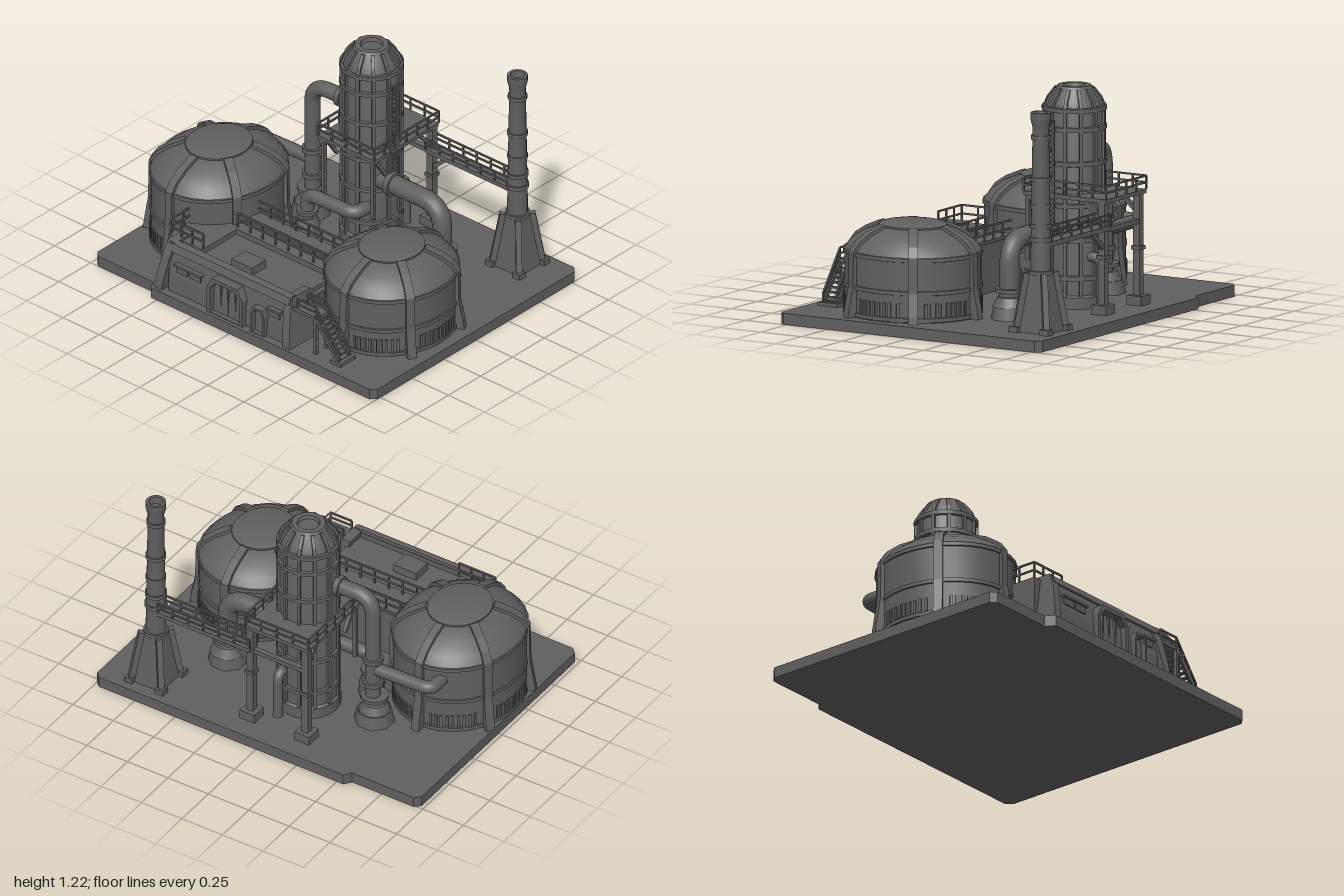
import * as THREE from 'three';
import { toCreasedNormals, mergeGeometries } from 'three/addons/utils/BufferGeometryUtils.js';

const steel = new THREE.MeshStandardMaterial({ color: 0x606060 });
steel.name = 'dark grey steel';
const G = 0.06; // ground slab height
const V = (x, y, z) => new THREE.Vector3(x, y, z);

function add(parent, name, geo, x = 0, y = 0, z = 0) {
  const m = new THREE.Mesh(geo, steel);
  m.name = name;
  m.position.set(x, y, z);
  parent.add(m);
  return m;
}
function group(parent, name, x = 0, y = 0, z = 0) {
  const g = new THREE.Group();
  g.name = name;
  g.position.set(x, y, z);
  parent.add(g);
  return g;
}
const box = (p, name, w, h, d, x, y, z) => add(p, name, new THREE.BoxGeometry(w, h, d), x, y, z);
const lathe = (pts, n = 32) => toCreasedNormals(
  new THREE.LatheGeometry(pts.map(([r, y]) => new THREE.Vector2(r, y)), n), 0.45);
const polygon = pts => new THREE.Shape(pts.map(([x, y]) => new THREE.Vector2(x, y)));
const extrude = (pts, depth) => new THREE.ExtrudeGeometry(polygon(pts), { depth, bevelEnabled: false });
const cyl = (r1, r2, h, n = 20) => new THREE.CylinderGeometry(r1, r2, h, n);

// square bar between two points
function bar(a, b, t) {
  const o = new THREE.Object3D();
  o.position.copy(a).add(b).multiplyScalar(0.5);
  o.lookAt(b);
  o.updateMatrix();
  return new THREE.BoxGeometry(t, t, a.distanceTo(b)).applyMatrix4(o.matrix);
}
// handrail with posts along a path
function rail(parent, name, pts, h = 0.075) {
  const parts = [], up = k => V(0, h * k, 0);
  for (let i = 0; i + 1 < pts.length; i++) {
    const a = pts[i], b = pts[i + 1], n = Math.max(1, Math.round(a.distanceTo(b) / 0.09));
    for (const k of [0.5, 1]) parts.push(bar(a.clone().add(up(k)), b.clone().add(up(k)), 0.009));
    for (let j = 0; j <= n; j++) {
      const p = a.clone().lerp(b, j / n);
      parts.push(bar(p, p.clone().add(up(1)), 0.009));
    }
  }
  add(parent, name, mergeGeometries(parts));
}
// round pipe with rounded elbows
function pipe(parent, name, pts, r, bend = 0.08) {
  const path = new THREE.CurvePath();
  let prev = pts[0];
  for (let i = 1; i < pts.length; i++) {
    const p = pts[i];
    if (i === pts.length - 1) { path.add(new THREE.LineCurve3(prev, p)); break; }
    const a = p.clone().add(pts[i - 1].clone().sub(p).setLength(bend));
    const b = p.clone().add(pts[i + 1].clone().sub(p).setLength(bend));
    path.add(new THREE.LineCurve3(prev, a));
    path.add(new THREE.QuadraticBezierCurve3(a, p, b));
    prev = b;
  }
  add(parent, name, new THREE.TubeGeometry(path, 64, r, 16));
}
function pedestal(parent, name, x, z, w, r) {
  const g = group(parent, name, x, G, z);
  const foot = add(g, 'foot', cyl(w * 0.62, w * 0.72, 0.07, 8), 0, 0.035, 0);
  foot.rotation.y = Math.PI / 8;
  add(g, 'collar', cyl(r * 1.25, r * 1.7, 0.05), 0, 0.09, 0);
  add(g, 'flange', cyl(r * 1.45, r * 1.45, 0.02), 0, 0.15, 0);
}

// domed oval tank, with six buttress ribs and vent rows
function tank(parent, name, x, z, r, rz, wall, top) {
  const g = group(parent, name, x, 0, z);
  g.scale.z = rz / r;
  const rise = top - wall, cap = 0.165;
  const dome = [[r, wall], [r - 0.03, wall + rise * 0.3], [r - 0.09, wall + rise * 0.6], [cap, wall + rise * 0.85]];
  add(g, 'shell', lathe([[r, G], ...dome, [0, wall + rise * 0.87]]));
  add(g, 'cap', lathe([[cap, top - 0.03], [cap, top - 0.012], [cap - 0.02, top - 0.004], [0, top]]));
  const mid = wall * 0.54;
  for (const y of [G + 0.015, mid, wall - 0.01])
    add(g, 'band', lathe([[r, y - 0.012], [r + 0.007, y - 0.01], [r + 0.007, y + 0.01], [r, y + 0.012]]));
  const outer = [[r + 0.045, G], [r + 0.04, G + 0.04], [r + 0.018, mid], [r + 0.014, wall + 0.005],
    ...dome.slice(1).map(([a, b]) => [a + 0.008, b + 0.014])];
  const inner = [[cap - 0.01, top - 0.03], [r - 0.1, wall], [r - 0.02, wall - 0.05], [r - 0.02, G]];
  for (let i = 0; i < 6; i++) {
    const a = Math.PI / 6 + i * Math.PI / 3;
    const rib = extrude([...outer, ...inner], 0.045).translate(0, 0, -0.0225);
    add(g, 'rib', rib).rotation.y = a;
    for (let j = -4; j <= 4; j++) {
      const b = a + Math.PI / 6 + j * 0.085;
      const slat = box(g, 'ventSlat', 0.012, 0.075, 0.014, Math.cos(b) * r, G + 0.065, -Math.sin(b) * r);
      slat.rotation.y = b;
    }
  }
}

function tower(parent) {
  const g = group(parent, 'tower', -0.037, 0, -0.357), r = 0.155;
  add(g, 'towerShell', lathe([[r + 0.015, G], [r + 0.015, 0.12], [r, 0.13], [r, 1.09], [r - 0.018, 1.14], [0.1, 1.195],
    [0.088, 1.215], [0.06, 1.215], [0.055, 1.195], [0, 1.195]], 24));
  for (const y of [0.22, 0.42, 0.6, 0.82, 1.0, 1.1])
    add(g, 'towerBand', lathe([[r, y - 0.014], [r + 0.014, y - 0.011], [r + 0.014, y + 0.011], [r, y + 0.014]], 24));
  const rib = [[r - 0.02, G], [r + 0.012, G], [r + 0.012, 1.1], [r - 0.008, 1.15], [0.105, 1.204], [0.08, 1.2], [r - 0.03, 1.1]];
  for (let i = 0; i < 12; i++)
    add(g, 'towerRib', extrude(rib, 0.018).translate(0, 0, -0.009)).rotation.y = (i + 0.5) * Math.PI / 6;
  // ladder on the left flank
  const parts = [0, 1].map(i => bar(V(0.185, 0.5, 0.01 + i * 0.05), V(0.185, 1.05, 0.01 + i * 0.05), 0.012));
  for (let y = 0.52; y < 1.05; y += 0.028) parts.push(bar(V(0.185, y, 0.01), V(0.185, y, 0.06), 0.008));
  for (const y of [0.75, 0.9, 1.04]) parts.push(bar(V(0.14, y, 0.035), V(0.185, y, 0.035), 0.012));
  add(g, 'ladder', mergeGeometries(parts));
}

function platform(parent) {
  const g = group(parent, 'platform');
  const x0 = -0.24, x1 = 0.15, z0 = -0.67, z1 = -0.165, y = 0.665;
  box(g, 'deck', x1 - x0, 0.022, z1 - z0, (x0 + x1) / 2, y - 0.011, (z0 + z1) / 2);
  rail(g, 'platformRail', [V(x0, y, z0), V(x1, y, z0), V(x1, y, z1), V(x0, y, z1), V(x0, y, z0)], 0.07);
  for (const x of [x0 + 0.03, x1 - 0.02]) {
    box(g, 'column', 0.04, y - G, 0.04, x, (y + G) / 2, -0.64);
    box(g, 'columnFoot', 0.09, 0.05, 0.09, x, G + 0.025, -0.64);
    box(g, 'columnCollar', 0.055, 0.02, 0.055, x, 0.36, -0.64);
    add(g, 'brace', bar(V(x, 0.54, -0.64), V(x, 0.655, -0.52), 0.022));
    box(g, 'frontPost', 0.022, y - 0.3, 0.022, x, (y + 0.3) / 2, z1 - 0.015);
    add(g, 'frontBrace', bar(V(x, 0.52, -0.28), V(x, 0.655, z1 - 0.02), 0.02));
  }
  box(g, 'crossBeam', x1 - x0 - 0.04, 0.025, 0.03, (x0 + x1) / 2, 0.5, -0.64);
  // bridge to the chimney
  box(g, 'bridgeDeck', 0.6, 0.025, 0.08, 0.42, 0.515, -0.64);
  for (const z of [-0.68, -0.6]) rail(g, 'bridgeRail', [V(0.12, 0.525, z), V(0.69, 0.525, z)], 0.06);
  add(g, 'bridgeBrace', bar(V(0.13, 0.4, -0.64), V(0.25, 0.505, -0.64), 0.022));
}

function chimney(parent) {
  const g = group(parent, 'chimney', 0.725, 0, -0.635);
  add(g, 'stack', lathe([[0.056, 0.3], [0.052, 0.55], [0.043, 1.13], [0.054, 1.175], [0.054, 1.21], [0.038, 1.21], [0.034, 1.17], [0, 1.17]], 16));
  for (const [y, r] of [[0.37, 0.066], [0.545, 0.06], [0.615, 0.058], [0.72, 0.054], [0.86, 0.054], [1.08, 0.051]])
    add(g, 'stackRing', cyl(r, r, 0.022, 16), 0, y, 0);
  const base = add(g, 'stackBase', cyl(0.08, 0.132, 0.3, 4).toNonIndexed(), 0, G + 0.15, 0);
  base.geometry.computeVertexNormals();
  base.rotation.y = Math.PI / 4;
  for (const sx of [-1, 1]) for (const sz of [-1, 1]) {
    add(g, 'baseLeg', bar(V(sx * 0.095, G, sz * 0.095), V(sx * 0.054, 0.37, sz * 0.054), 0.032));
    box(g, 'legFoot', 0.05, 0.03, 0.05, sx * 0.095, G + 0.015, sz * 0.095);
  }
}

function building(parent) {
  const g = group(parent, 'controlBuilding');
  const alongX = (name, pts, x0, x1) => add(g, name, extrude(pts, x1 - x0).rotateY(-Math.PI / 2), x1);
  alongX('mainHall', [[0.37, G], [0.755, G], [0.75, 0.16], [0.725, 0.29], [0.71, 0.32], [0.685, 0.32], [0.685, 0.29], [0.37, 0.29]], -0.46, 0.34);
  alongX('rearHall', [[0.19, G], [0.39, G], [0.39, 0.32], [0.19, 0.32]], -0.33, 0.3);
  alongX('sideWing', [[0.3, G], [0.66, G], [0.66, 0.32], [0.3, 0.32]], -0.545, -0.31);
  alongX('parapetCap', [[0.685, 0.3], [0.742, 0.29], [0.728, 0.33], [0.69, 0.335]], -0.48, 0.36);
  for (const [x, s] of [[-0.495, -1], [0.37, 1]]) {
    const b = alongX('buttress', [[0.58, G], [0.785, G], [0.78, 0.12], [0.75, 0.26], [0.72, 0.335], [0.58, 0.335]], x - 0.025, x + 0.025);
    b.rotation.z = s * 0.14;
    b.position.x += s * 0.02;
  }
  // doorways with chamfered frames
  const door = (name, x, w, h, t) => {
    const outline = (k, y0) => [[-w / 2 - k, y0], [w / 2 + k, y0], [w / 2 + k, h * 0.8], [w / 2 - w * 0.18 + k, h + k], [-w / 2 + w * 0.18 - k, h + k], [-w / 2 - k, h * 0.8]];
    const s = polygon(outline(t, 0));
    s.holes.push(polygon(outline(0, 0.004)));
    add(g, name, new THREE.ExtrudeGeometry(s, { depth: 0.06, bevelEnabled: false }), x, G, 0.72);
  };
  door('gateFrame', -0.05, 0.2, 0.19, 0.022);
  door('doorFrame', 0.175, 0.07, 0.14, 0.012);
  for (const x of [-0.1, -0.05, 0]) box(g, 'gateSlat', 0.008, 0.17, 0.02, x, G + 0.09, 0.745);
  for (const [x, w] of [[-0.37, 0.08], [-0.28, 0.08], [0.27, 0.07]]) {
    box(g, 'window', w, 0.035, 0.02, x, 0.205, 0.742);
    box(g, 'windowHood', w + 0.02, 0.012, 0.04, x, 0.23, 0.742);
  }
  box(g, 'roofHatch', 0.14, 0.05, 0.11, -0.05, 0.31, 0.59);
  // roof walkways
  box(g, 'roofWalkway', 0.62, 0.015, 0.1, -0.015, 0.325, 0.25);
  for (const z of [0.21, 0.37]) rail(g, 'walkwayRail', [V(-0.32, 0.32, z), V(0.29, 0.32, z)], 0.085);
  rail(g, 'wingRail', [V(-0.31, 0.32, 0.65), V(-0.535, 0.32, 0.65), V(-0.535, 0.32, 0.45)], 0.09);
  // side landing and stairs
  box(g, 'landing', 0.19, 0.02, 0.09, 0.45, 0.275, 0.68);
  for (const z of [0.64, 0.72]) {
    box(g, 'landingPost', 0.018, 0.22, 0.018, 0.53, 0.17, z);
    add(g, 'stringer', bar(V(0.53, 0.275, z), V(0.69, G + 0.01, z), 0.018));
    rail(g, 'stairRail', [V(0.4, 0.28, z), V(0.53, 0.28, z), V(0.69, 0.07, z)], 0.06);
  }
  for (let i = 0; i < 9; i++) box(g, 'step', 0.024, 0.009, 0.08, 0.54 + i * 0.0175, 0.262 - i * 0.023, 0.68);
  box(g, 'stairFoot', 0.07, 0.02, 0.12, 0.68, G + 0.01, 0.68);
  pipe(g, 'drainPipe', [V(0.29, 0.25, 0.42), V(0.33, 0.25, 0.42), V(0.33, 0.25, 0.6), V(0.38, G, 0.6)], 0.02, 0.03);
}

export function createModel() {
  const model = new THREE.Group();
  model.name = 'refinery';
  // ground slab with clipped corners
  const slab = [[-0.95, -0.76], [-0.57, -0.76], [-0.54, -0.8], [0.97, -0.8], [1, -0.77], [1, 0.77], [0.97, 0.8], [-0.54, 0.8],
    [-0.57, 0.75], [-0.95, 0.75], [-0.98, 0.72], [-0.98, -0.73]];
  add(model, 'groundSlab', extrude(slab.map(([x, z]) => [x, -z]), G).rotateX(-Math.PI / 2));
  tank(model, 'rightTank', -0.645, 0.148, 0.335, 0.38, 0.47, 0.62);
  tank(model, 'leftTank', 0.612, 0.22, 0.33, 0.365, 0.4, 0.54);
  tower(model);
  platform(model);
  chimney(model);
  building(model);
  // connecting pipes
  pipe(model, 'highPipe', [V(-0.1, 0.845, -0.32), V(-0.405, 0.845, -0.31), V(-0.405, G, -0.31)], 0.042, 0.11);
  add(model, 'highPipeFlange', cyl(0.056, 0.056, 0.03).rotateZ(Math.PI / 2), -0.205, 0.845, -0.317);
  for (const y of [0.3, 0.45]) add(model, 'pipeFlange', cyl(0.055, 0.055, 0.025), -0.405, y, -0.31);
  pedestal(model, 'highPipePedestal', -0.415, -0.31, 0.15, 0.05);
  pipe(model, 'tankPipe', [V(-0.4, 0.39, -0.31), V(-0.755, 0.39, -0.3), V(-0.755, 0.39, -0.15)], 0.035, 0.05);
  pipe(model, 'lowPipe', [V(0.05, 0.47, -0.3), V(0.5, 0.47, -0.3), V(0.5, G, -0.3)], 0.052, 0.13);
  add(model, 'lowPipeFlange', cyl(0.066, 0.066, 0.03).rotateZ(Math.PI / 2), 0.16, 0.47, -0.3);
  pedestal(model, 'lowPipePedestal', 0.495, -0.305, 0.145, 0.056);
  pipe(model, 'frontPipe', [V(0.04, 0.31, -0.3), V(0.04, 0.31, -0.14), V(-0.28, 0.31, -0.13), V(-0.28, G, -0.13)], 0.037, 0.06);
  pedestal(model, 'frontPipePedestal', -0.28, -0.13, 0.1, 0.04);
  pipe(model, 'rearPipe', [V(0.02, 0.33, -0.45), V(0.02, 0.33, -0.56), V(0.02, G, -0.56)], 0.026, 0.05);
  return model;
}
